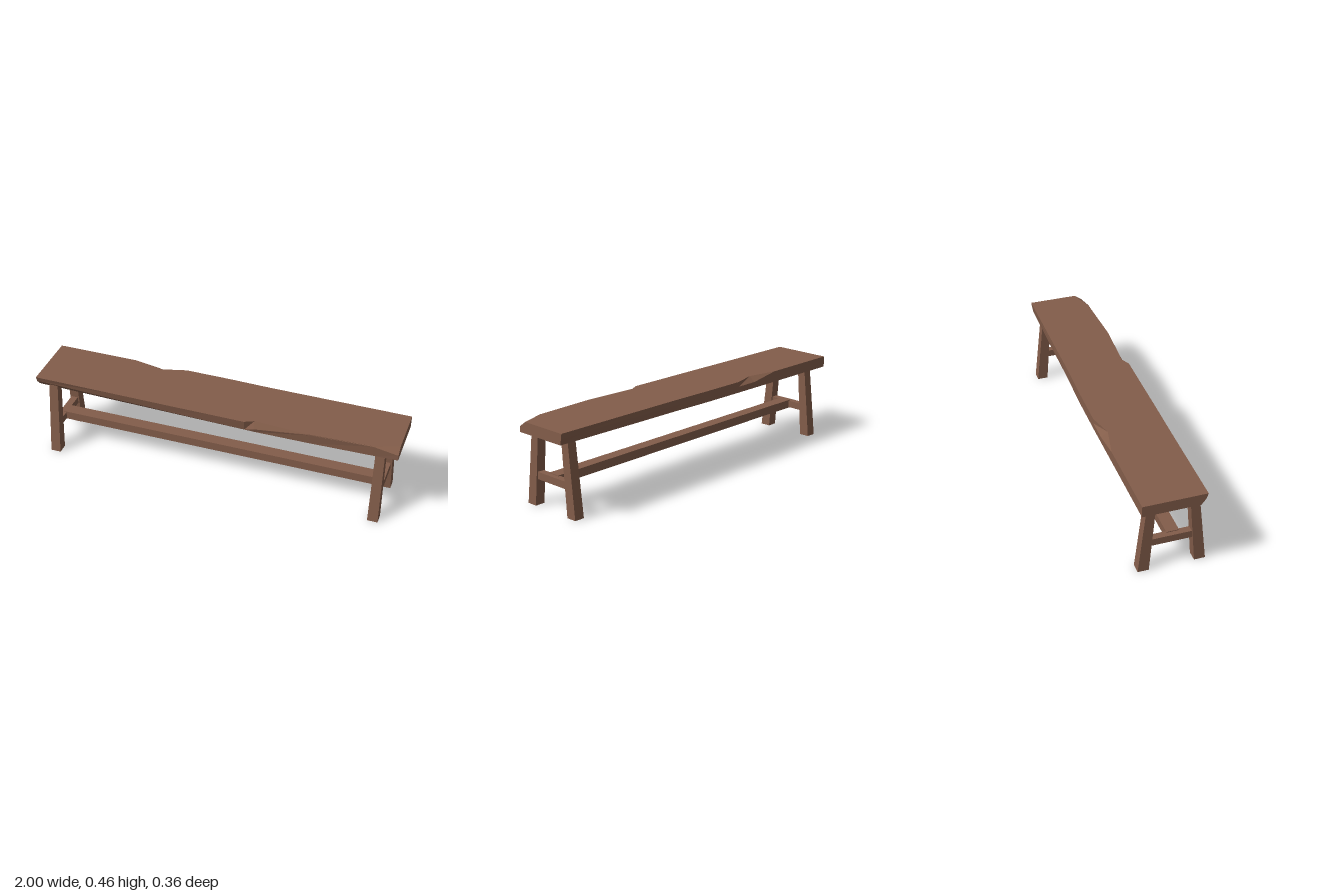
import * as THREE from 'three';

const TOP = 0.46, UNDER = 0.4;

// Sections of the rough-hewn plank, from -x to +x:
// x, back top z, back middle z, back bottom z, front bottom z, front middle z, front middle y, front top z
const SECTIONS = [
  [-1.0, -0.18, -0.18, -0.18, 0.118, 0.142, 0.431, 0.152],
  [-0.55, -0.18, -0.18, -0.18, 0.13, 0.147, 0.42, 0.156],
  [-0.38, -0.145, -0.18, -0.18, 0.134, 0.148, 0.416, 0.158],
  [-0.25, -0.18, -0.18, -0.18, 0.138, 0.15, 0.413, 0.16],
  [0, -0.178, -0.178, -0.178, 0.145, 0.152, 0.407, 0.162],
  [0.19, -0.173, -0.173, -0.172, 0.15, 0.153, 0.403, 0.164],
  [0.24, -0.172, -0.172, -0.17, 0.152, 0.158, 0.42, 0.14],
  [0.54, -0.17, -0.169, -0.166, 0.151, 0.157, 0.455, 0.157],
  [0.87, -0.168, -0.165, -0.16, 0.144, 0.146, 0.458, 0.144],
  [1.0, -0.167, -0.163, -0.157, 0.141, 0.141, 0.43, 0.1],
];

// Flat-shaded solid skinned over rings of points
function loft(rings) {
  const pos = [];
  const tri = (a, b, c) => pos.push(...a, ...b, ...c);
  const n = rings[0].length, last = rings[rings.length - 1];
  for (let i = 0; i < rings.length - 1; i++) {
    for (let j = 0; j < n; j++) {
      const k = (j + 1) % n;
      const a = rings[i][j], b = rings[i][k], c = rings[i + 1][k], d = rings[i + 1][j];
      tri(a, c, b);
      tri(a, d, c);
    }
  }
  for (let j = 1; j < n - 1; j++) {
    tri(rings[0][0], rings[0][j], rings[0][j + 1]);
    tri(last[0], last[j + 1], last[j]);
  }
  const geo = new THREE.BufferGeometry();
  geo.setAttribute('position', new THREE.Float32BufferAttribute(pos, 3));
  geo.computeVertexNormals();
  return geo;
}

// Splayed, tapered leg running up into the plank
function legGeometry(side) {
  const h = 0.43;
  const geo = new THREE.BoxGeometry(1, h, 1);
  geo.translate(0, h / 2, 0);
  const p = geo.attributes.position;
  for (let i = 0; i < p.count; i++) {
    const t = p.getY(i) / h;
    const center = side > 0 ? 0.151 - 0.041 * t : -0.145 + 0.041 * t;
    const depth = 0.058 - 0.0115 * t;
    p.setX(i, p.getX(i) * (0.056 - 0.007 * t));
    p.setZ(i, center + p.getZ(i) * depth);
  }
  const flat = geo.toNonIndexed();
  flat.computeVertexNormals();
  return flat;
}

export function createModel() {
  const bench = new THREE.Group();
  bench.name = 'bench';
  const wood = new THREE.MeshStandardMaterial({ color: 0x835d4a });
  wood.name = 'brown wood';

  const add = (name, geo, x = 0, y = 0, z = 0) => {
    const mesh = new THREE.Mesh(geo, wood);
    mesh.name = name;
    mesh.position.set(x, y, z);
    bench.add(mesh);
  };

  // Plank with chipped edges
  add('seat', loft(SECTIONS.map(([x, bt, bm, bb, fb, fm, fy, ft]) => [
    [x, TOP, bt], [x, 0.433, bm], [x, UNDER, bb],
    [x, UNDER, fb], [x, fy, fm], [x, TOP, ft],
  ])));

  // Two leg frames, each with a cross rail
  for (const s of [1, -1]) {
    const end = s > 0 ? 'left' : 'right';
    add(end + 'FrontLeg', legGeometry(1), s * 0.907);
    add(end + 'BackLeg', legGeometry(-1), s * 0.907);
    add(end + 'CrossRail', new THREE.BoxGeometry(0.038, 0.039, 0.23), s * 0.907, 0.1625, 0.003);
  }

  // Long rail joining the two frames
  add('longRail', new THREE.BoxGeometry(1.8, 0.047, 0.066), 0, 0.1625, 0.017);
  return bench;
}
